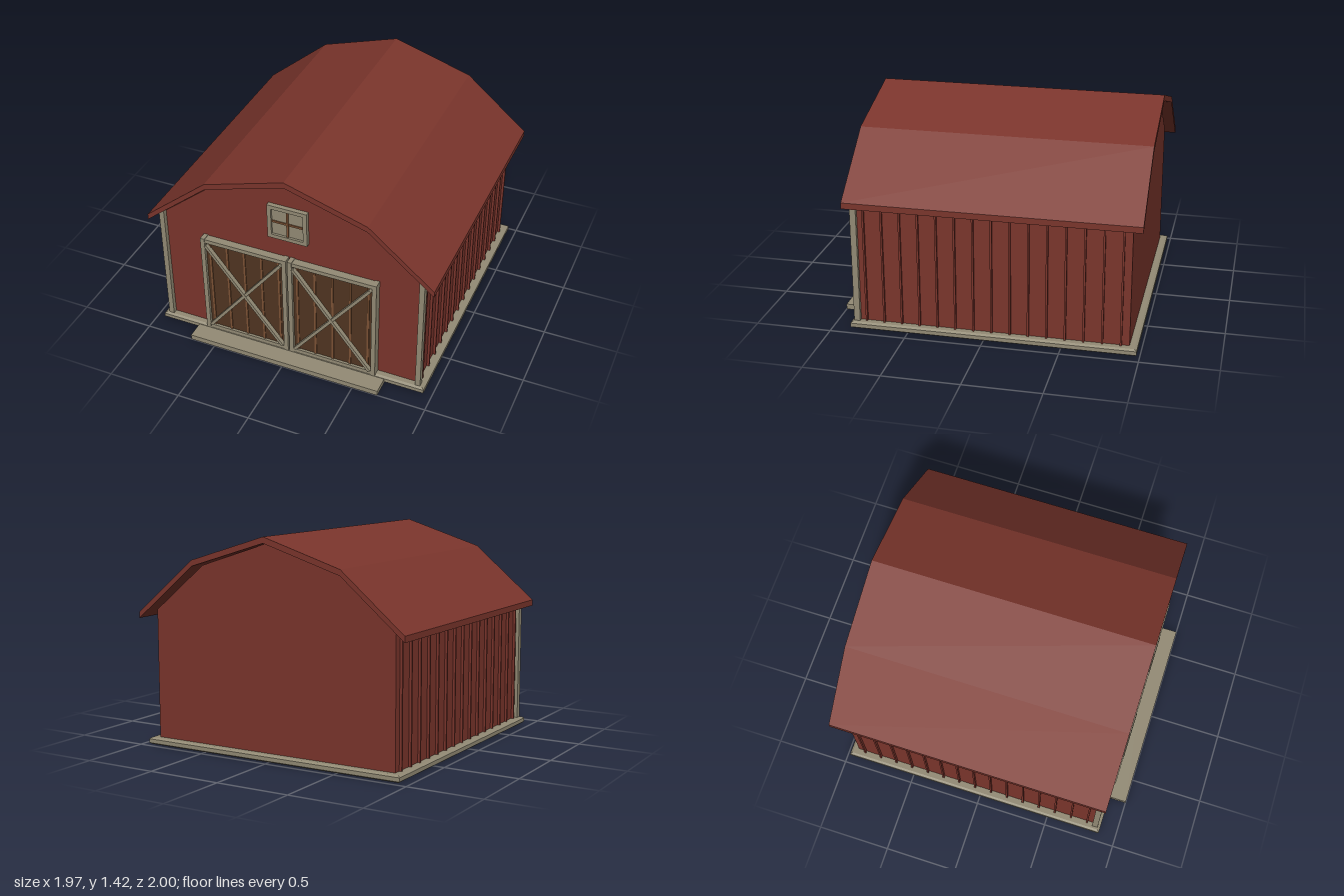
import * as THREE from 'three';

const material = (name, color) => {
  const m = new THREE.MeshStandardMaterial({ color });
  m.name = name;
  return m;
};

export function createModel() {
  const red = material('barn red', 0x7b352c);
  const trim = material('weathered trim', 0x938b75);
  const brown = material('dark door wood', 0x503521);
  const tan = material('light door wood', 0x7c5234);
  const barn = new THREE.Group();
  barn.name = 'barn';

  const add = (parent, name, geometry, mat) => {
    const mesh = new THREE.Mesh(geometry, mat);
    mesh.name = name;
    parent.add(mesh);
    return mesh;
  };
  // Box given by its extents on each axis
  const box = (parent, name, mat, [x0, x1], [y0, y1], [z0, z1]) => {
    const mesh = add(parent, name, new THREE.BoxGeometry(x1 - x0, y1 - y0, z1 - z0), mat);
    mesh.position.set((x0 + x1) / 2, (y0 + y1) / 2, (z0 + z1) / 2);
    return mesh;
  };
  // Closed outline in x and y, extruded from z0 to z1
  const prism = (name, mat, points, z0, z1) => {
    const shape = new THREE.Shape(points.map(([x, y]) => new THREE.Vector2(x, y)));
    const geometry = new THREE.ExtrudeGeometry(shape, { depth: z1 - z0, bevelEnabled: false });
    geometry.translate(0, 0, z0);
    return add(barn, name, geometry, mat);
  };

  // Foundation with chamfered edges, and the door step
  const plan = new THREE.Shape([[-0.93, -0.865], [0.93, -0.865], [0.93, 0.965], [-0.93, 0.965]]
    .map(([x, y]) => new THREE.Vector2(x, y)));
  const slab = new THREE.ExtrudeGeometry(plan, {
    depth: 0.026, bevelThickness: 0.01, bevelSize: 0.015, bevelSegments: 1
  });
  slab.rotateX(-Math.PI / 2).translate(0, 0.014, 0);
  add(barn, 'foundation', slab, trim);
  box(barn, 'doorStep', trim, [-0.675, 0.675], [0, 0.036], [0.8, 1]);

  // Walls with a gambrel outline
  prism('walls', red, [
    [-0.89, 0.045], [0.89, 0.045], [0.89, 0.905], [0.515, 1.215],
    [0, 1.382], [-0.515, 1.215], [-0.89, 0.905]
  ], -0.93, 0.83);

  // Overhanging roof
  prism('roof', red, [
    [-0.985, 0.85], [-0.548, 1.213], [0, 1.382], [0.548, 1.213], [0.985, 0.85],
    [0.985, 0.89], [0.55, 1.252], [0, 1.422], [-0.55, 1.252], [-0.985, 0.89]
  ], -1, 0.89);

  // Side battens and front corner posts
  for (const s of [-1, 1]) {
    for (let i = 0; i < 15; i++) {
      const z = 0.78 - i * 0.1183;
      const batten = box(barn, 'sideBatten', red, [-0.01, 0.01], [0.05, 0.9], [z - 0.006, z + 0.006]);
      batten.position.x = s * 0.897;
    }
    const post = box(barn, 'cornerPost', trim, [-0.0175, 0.0175], [0.05, 0.925], [0.822, 0.862]);
    post.position.x = s * 0.8975;
  }

  // Pair of framed doors with cross braces
  for (const s of [-1, 1]) {
    const door = new THREE.Group();
    door.name = s > 0 ? 'leftDoor' : 'rightDoor';
    door.position.x = s * 0.308;
    barn.add(door);
    box(door, 'doorPanel', brown, [-0.285, 0.285], [0.05, 0.79], [0.825, 0.865]);
    for (let i = -2; i <= 2; i++) {
      const x = i * 0.122;
      box(door, 'doorBatten', tan, [x - 0.007, x + 0.007], [0.07, 0.775], [0.86, 0.871]);
    }
    for (const x of [-0.288, 0.288]) {
      box(door, 'doorStile', trim, [x - 0.015, x + 0.015], [0.045, 0.805], [0.83, 0.886]);
    }
    for (const y of [0.059, 0.786]) {
      box(door, 'doorRail', trim, [-0.274, 0.274], [y - 0.014, y + 0.014], [0.83, 0.882]);
    }
    [-1, 1].forEach((d, i) => {
      const brace = box(door, 'crossBrace', trim, [-0.431, 0.431], [-0.01, 0.01], [0.868, 0.897 - i * 0.002]);
      brace.position.y = 0.42;
      brace.rotation.z = d * Math.atan2(0.68, 0.53);
    });
  }

  // Loft window
  const windowGroup = new THREE.Group();
  windowGroup.name = 'loftWindow';
  windowGroup.position.y = 1.074;
  barn.add(windowGroup);
  box(windowGroup, 'windowPane', trim, [-0.11, 0.11], [-0.1, 0.1], [0.825, 0.845]);
  for (const s of [-1, 1]) {
    const side = box(windowGroup, 'windowSide', trim, [-0.0135, 0.0135], [-0.124, 0.124], [0.825, 0.86]);
    side.position.x = s * 0.1215;
    const rail = box(windowGroup, 'windowRail', trim, [-0.108, 0.108], [-0.0135, 0.0135], [0.825, 0.86]);
    rail.position.y = s * 0.1105;
  }
  box(windowGroup, 'windowMullion', tan, [-0.007, 0.007], [-0.097, 0.097], [0.84, 0.853]);
  box(windowGroup, 'windowCrossbar', tan, [-0.108, 0.108], [-0.007, 0.007], [0.84, 0.852]);

  return barn;
}
